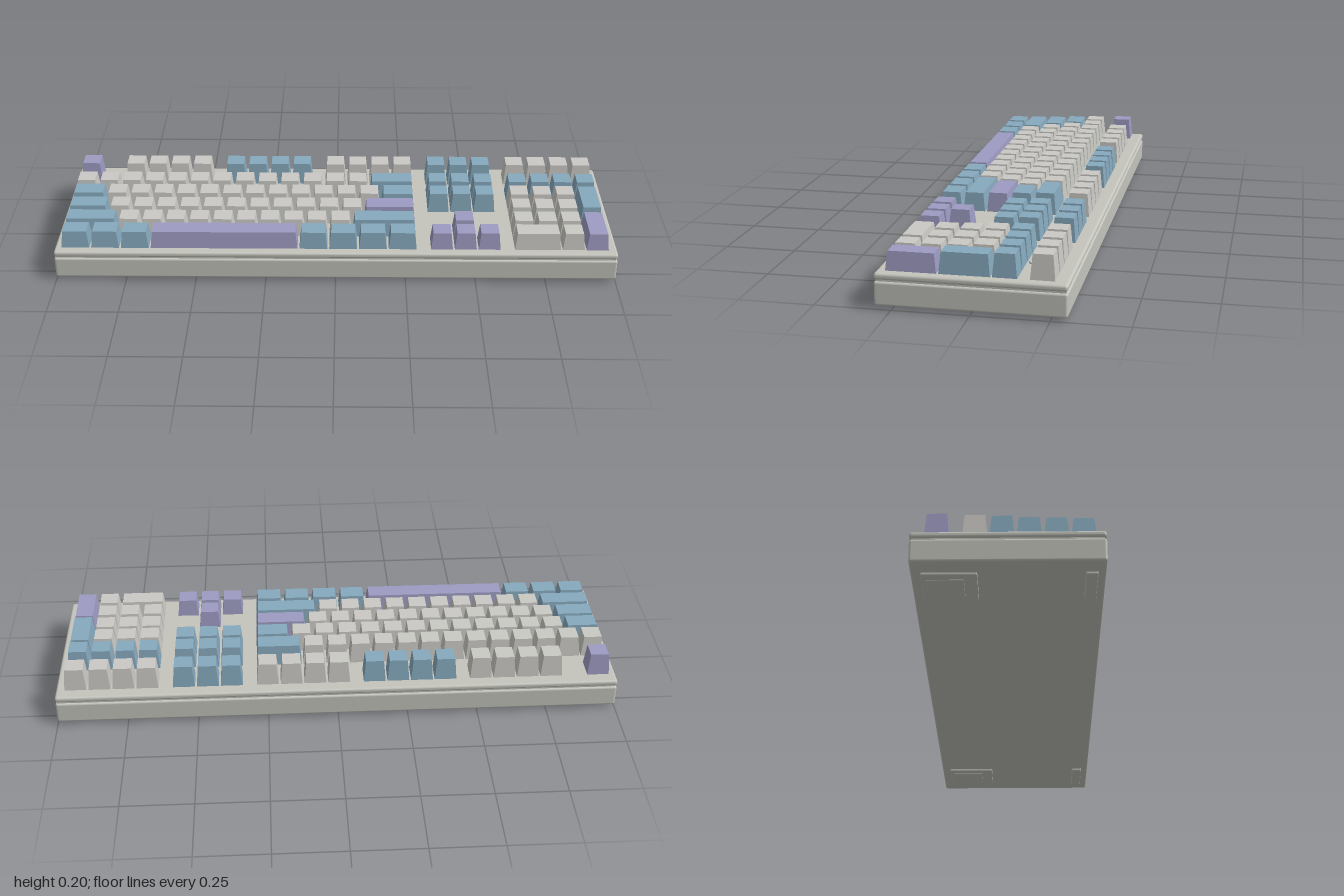
import * as THREE from 'three';
import { RoundedBoxGeometry } from 'three/addons/geometries/RoundedBoxGeometry.js';

const mat = (name, color) => new THREE.MeshStandardMaterial({ name, color });
const U = 0.0847;          // width of one key unit
const X0 = -0.979;         // left edge of the main block
const PLATE = 0.118;       // top of the upper plate
const GAP = 0.006, TAPER = 0.0075;

// rows from the back to the front: centre z and key-top height
const ROWS = [
  { z: -0.221, top: 0.2 }, { z: -0.103, top: 0.195 }, { z: -0.019, top: 0.191 },
  { z: 0.066, top: 0.186 }, { z: 0.151, top: 0.183 }, { z: 0.235, top: 0.181 },
];

// [first unit, colour, widths...]
const rep = (n, w = 1) => Array(n).fill(w);
const LAYOUT = [
  [[0, 'p', 1], [2, 'g', ...rep(4)], [6.5, 'b', ...rep(4)], [11, 'g', ...rep(4)]],
  [[0, 'g', ...rep(13)], [13, 'b', 2]],
  [[0, 'b', 1.5], [1.5, 'g', ...rep(12)], [13.5, 'b', 1.5]],
  [[0, 'b', 1.75], [1.75, 'g', ...rep(11)], [12.75, 'p', 2.25]],
  [[0, 'b', 2.25], [2.25, 'g', ...rep(10)], [12.25, 'b', 2.75]],
  [[0, 'b', ...rep(3, 1.25)], [3.75, 'p', 6.25], [10, 'b', ...rep(4, 1.25)]],
];
const NAV = 15.52, PAD = 19.04;
LAYOUT[0].push([NAV, 'b', ...rep(3)], [PAD, 'g', ...rep(4)]);
LAYOUT[1].push([NAV, 'b', ...rep(3)], [PAD, 'b', ...rep(4)]);
LAYOUT[2].push([NAV, 'b', ...rep(3)], [PAD, 'g', ...rep(3)]);
LAYOUT[3].push([PAD, 'g', ...rep(3)]);
LAYOUT[4].push([NAV + 1, 'p', 1], [PAD, 'g', ...rep(3)]);
LAYOUT[5].push([NAV, 'p', ...rep(3)], [PAD, 'g', 2, 1]);

// box whose top is drawn in on all four sides
function keyGeometry(w, h, d) {
  const g = new THREE.BoxGeometry(w, h, d);
  const p = g.attributes.position;
  for (let i = 0; i < p.count; i++) {
    if (p.getY(i) > 0) {
      p.setX(i, p.getX(i) - Math.sign(p.getX(i)) * TAPER);
      p.setZ(i, p.getZ(i) - Math.sign(p.getZ(i)) * TAPER);
    }
  }
  g.computeVertexNormals();
  return g;
}

export function createModel() {
  const model = new THREE.Group();
  model.name = 'keyboard';
  const caseGrey = mat('case grey', 0xc4c4bd);
  const colours = {
    g: mat('key grey', 0xcac9c4),
    b: mat('key blue', 0x86a9bd),
    p: mat('key purple', 0x9d9bc2),
  };

  const add = (parent, name, geometry, material, x, y, z) => {
    const m = new THREE.Mesh(geometry, material);
    m.name = name;
    m.position.set(x, y, z);
    parent.add(m);
    return m;
  };
  const slab = (name, w, y0, y1, d, r, x = 0, z = 0) =>
    add(model, name, new RoundedBoxGeometry(w, y1 - y0, d, 3, r), caseGrey, x, (y0 + y1) / 2, z);

  // case: lower tray, recessed seam and upper plate
  slab('lowerCase', 2, 0.012, 0.091, 0.608, 0.008);
  add(model, 'seam', new THREE.BoxGeometry(1.988, 0.02, 0.596), caseGrey, 0, 0.094, 0);
  slab('upperPlate', 2, 0.096, PLATE, 0.608, 0.009);

  // keys
  const keys = new THREE.Group();
  keys.name = 'keys';
  model.add(keys);
  const bottom = PLATE - 0.004;
  const addKey = (unit, width, z, depth, top, colour) => {
    const h = top - bottom;
    add(keys, 'key', keyGeometry(width * U - GAP, h, depth * U - GAP), colours[colour],
      X0 + (unit + width / 2) * U, bottom + h / 2, z);
  };
  LAYOUT.forEach((runs, r) => {
    for (const [start, colour, ...widths] of runs) {
      let unit = start;
      for (const w of widths) {
        addKey(unit, w, ROWS[r].z, 1, ROWS[r].top, colour);
        unit += w;
      }
    }
  });
  // double-height keys of the number pad
  addKey(PAD + 3, 1, (ROWS[2].z + ROWS[3].z) / 2, 2, 0.189, 'b');
  addKey(PAD + 3, 1, (ROWS[4].z + ROWS[5].z) / 2, 2, 0.181, 'p');

  // status lights above the number pad
  for (let i = 0; i < 3; i++) {
    add(model, 'statusLight', new THREE.SphereGeometry(0.006, 12, 8), caseGrey,
      0.647 + i * 0.0855, 0.122, -0.156);
  }

  // front pads and folding rear feet
  for (const s of [-1, 1]) {
    const x = s * 0.845;
    slab('frontPad', 0.17, 0.003, 0.016, 0.038, 0.004, x, 0.259);
    slab('rearFootFrame', 0.17, 0.003, 0.016, 0.176, 0.004, x, -0.184);
    slab('rearFoot', 0.11, 0, 0.008, 0.12, 0.002, x, -0.198);
  }
  return model;
}
